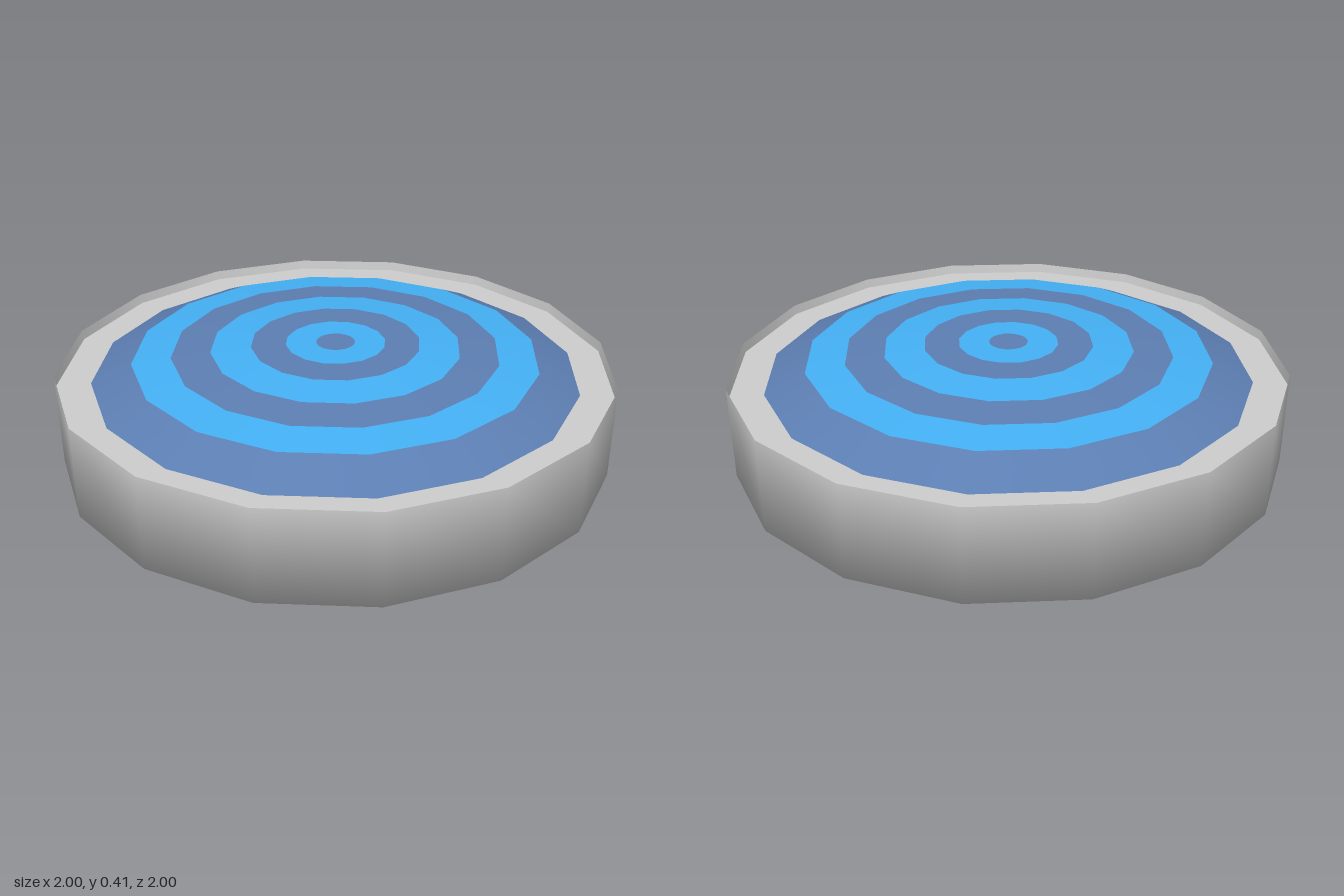
import * as THREE from 'three';

const SIDES = 16;

function lathe(name, profile, color) {
  const points = profile.map(([r, y]) => new THREE.Vector2(r, y));
  const mesh = new THREE.Mesh(
    new THREE.LatheGeometry(points, SIDES),
    new THREE.MeshStandardMaterial({ color })
  );
  mesh.name = name;
  return mesh;
}

export function createModel() {
  const group = new THREE.Group();
  group.name = 'targetDisc';

  // Base: underside and outer wall, shaded smoothly into each other
  group.add(lathe('base', [[0, 0], [1, 0], [1, 0.34]], 0xcccccc));

  // Thin raised lip and the recessed rim around the dome
  group.add(lathe('lip', [[1, 0.34], [0.995, 0.305]], 0xcccccc));
  group.add(lathe('rim', [[0.995, 0.305], [0.86, 0.305]], 0xcccccc));

  // Shallow dome of concentric bands in two alternating blues
  const dome = new THREE.Group();
  dome.name = 'dome';
  const rings = [
    [0.875, 0.305], [0.73, 0.37], [0.59, 0.385], [0.45, 0.397],
    [0.305, 0.408], [0.18, 0.409], [0.07, 0.41], [0, 0.41],
  ];
  for (let i = 0; i < rings.length - 1; i++) {
    const color = i % 2 ? 0x44b0f4 : 0x5c7eb2;
    dome.add(lathe(`band${i + 1}`, [rings[i], rings[i + 1]], color));
  }
  group.add(dome);
  return group;
}
